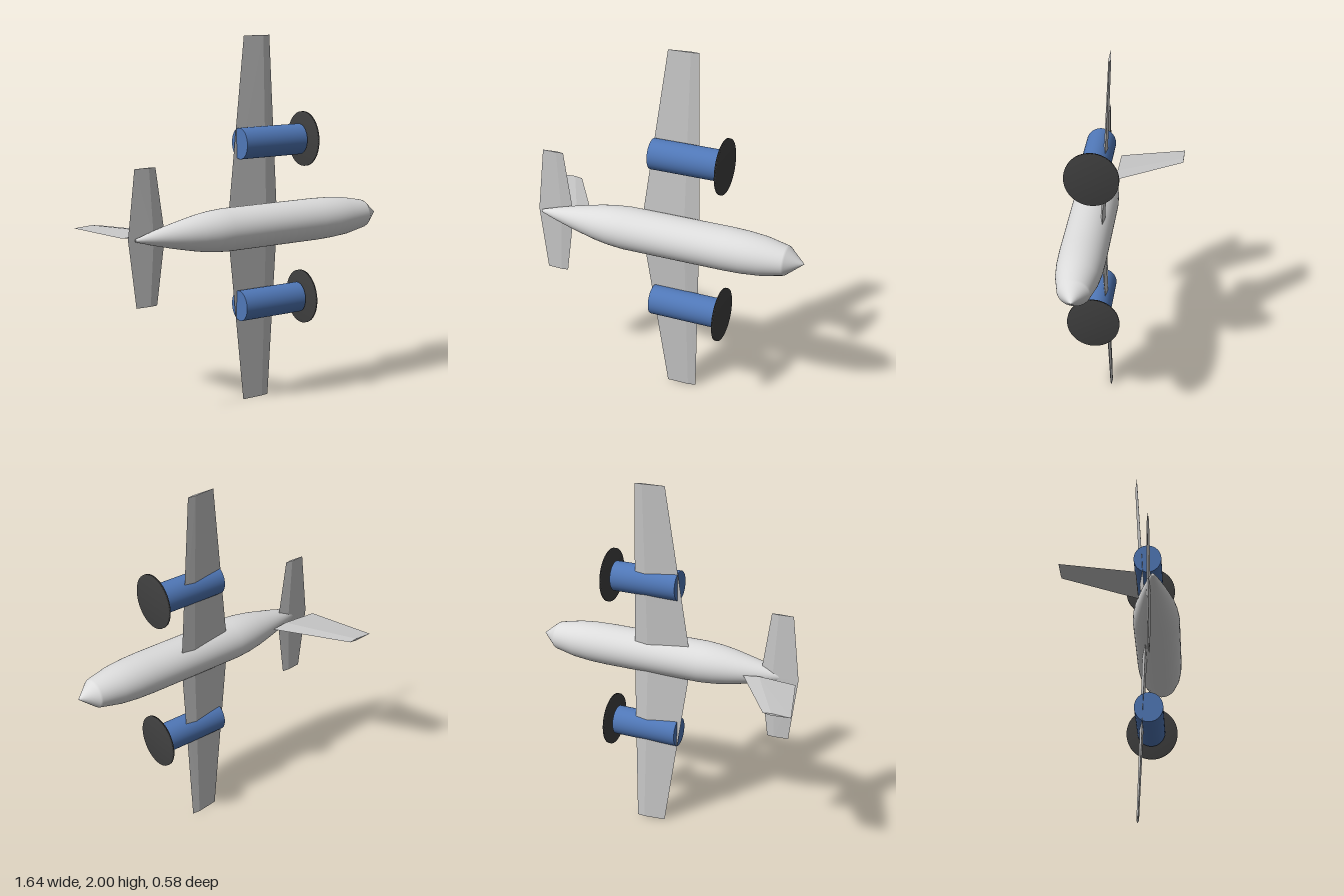
import * as THREE from 'three';
import { ConvexGeometry } from 'three/addons/geometries/ConvexGeometry.js';
import { mergeVertices } from 'three/addons/utils/BufferGeometryUtils.js';

function paint(name, color) {
  const m = new THREE.MeshStandardMaterial({ color });
  m.name = name;
  return m;
}

export function createModel() {
  const model = new THREE.Group();
  model.name = 'aircraft';
  const hullPaint = paint('pale grey', 0xdcdcdc);
  const wingPaint = paint('light grey', 0xc8c8c8);
  const enginePaint = paint('blue', 0x5078b8);
  const propPaint = paint('charcoal', 0x404040);

  const add = (name, geometry, material) => {
    const mesh = new THREE.Mesh(geometry, material);
    mesh.name = name;
    model.add(mesh);
  };

  // Tapered panel with a kite-shaped section. Each end is
  // [leading x, ridge x, trailing x, half thickness, height at nose, ridge, tail, span].
  const panel = (ends, place) => {
    const pts = [];
    for (const [le, ridge, te, t, hl, hr, ht, span] of ends) {
      pts.push(place(le, hl, span), place(ridge, hr + t, span),
        place(te, ht, span), place(ridge, hr - t, span));
    }
    return new ConvexGeometry(pts);
  };

  // Fuselage: turned along x, slightly deeper than wide
  const profile = [
    [0, -0.69], [0.008, -0.69], [0.034, -0.6], [0.06, -0.5], [0.078, -0.42],
    [0.095, -0.34], [0.107, -0.26], [0.114, -0.17], [0.114, 0.1], [0.114, 0.4],
    [0.111, 0.5], [0.102, 0.6], [0.078, 0.72], [0.073, 0.731], [0, 0.82],
  ].map(([r, x]) => new THREE.Vector2(r, x));
  const hull = new THREE.LatheGeometry(profile, 48);
  hull.rotateZ(-Math.PI / 2).scale(1, 1, 1.095).translate(0, 1, 0.161);
  add('fuselage', hull, hullPaint);

  for (const [label, s] of [['upper', 1], ['lower', -1]]) {
    const sideways = (x, h, span) => new THREE.Vector3(x, 1 + s * span, h);

    // Main wing with dihedral, and the tailplane
    add(label + 'Wing', panel([
      [0.212, 0.13, -0.117, 0.013, 0.085, 0.09, 0.106, 0],
      [0.183, 0.14, 0.017, 0.007, 0.042, 0.044, 0.052, 1],
    ], sideways), wingPaint);
    add(label + 'Tailplane', panel([
      [-0.51, -0.58, -0.722, 0.01, 0.136, 0.136, 0.138, 0],
      [-0.56, -0.6, -0.68, 0.006, 0.136, 0.136, 0.138, 0.36],
    ], sideways), wingPaint);

    // Engine nacelle
    const y = 1 + s * 0.441;
    const nacelle = new THREE.CylinderGeometry(0.083, 0.083, 0.38, 40);
    nacelle.rotateZ(-Math.PI / 2).scale(1, 1, 0.93).translate(0.145, y, 0.112);
    add(label + 'Nacelle', nacelle, enginePaint);

    // Propeller disc with softly rounded shading
    let disc = new THREE.CylinderGeometry(0.148, 0.148, 0.013, 48);
    disc.deleteAttribute('uv');
    disc.deleteAttribute('normal');
    disc = mergeVertices(disc);
    disc.rotateZ(-Math.PI / 2).scale(1, 1, 0.955).translate(0.36, y, 0.115);
    disc.computeVertexNormals();
    add(label + 'PropellerDisc', disc, propPaint);
  }

  // Swept tail fin
  add('fin', panel([
    [-0.43, -0.52, -0.725, 0.012, 0, 0, 0, 0.08],
    [-0.675, -0.72, -0.825, 0.006, 0, 0, 0, -0.29],
  ], (x, h, span) => new THREE.Vector3(x, 1 + h, span)), wingPaint);

  return model;
}
